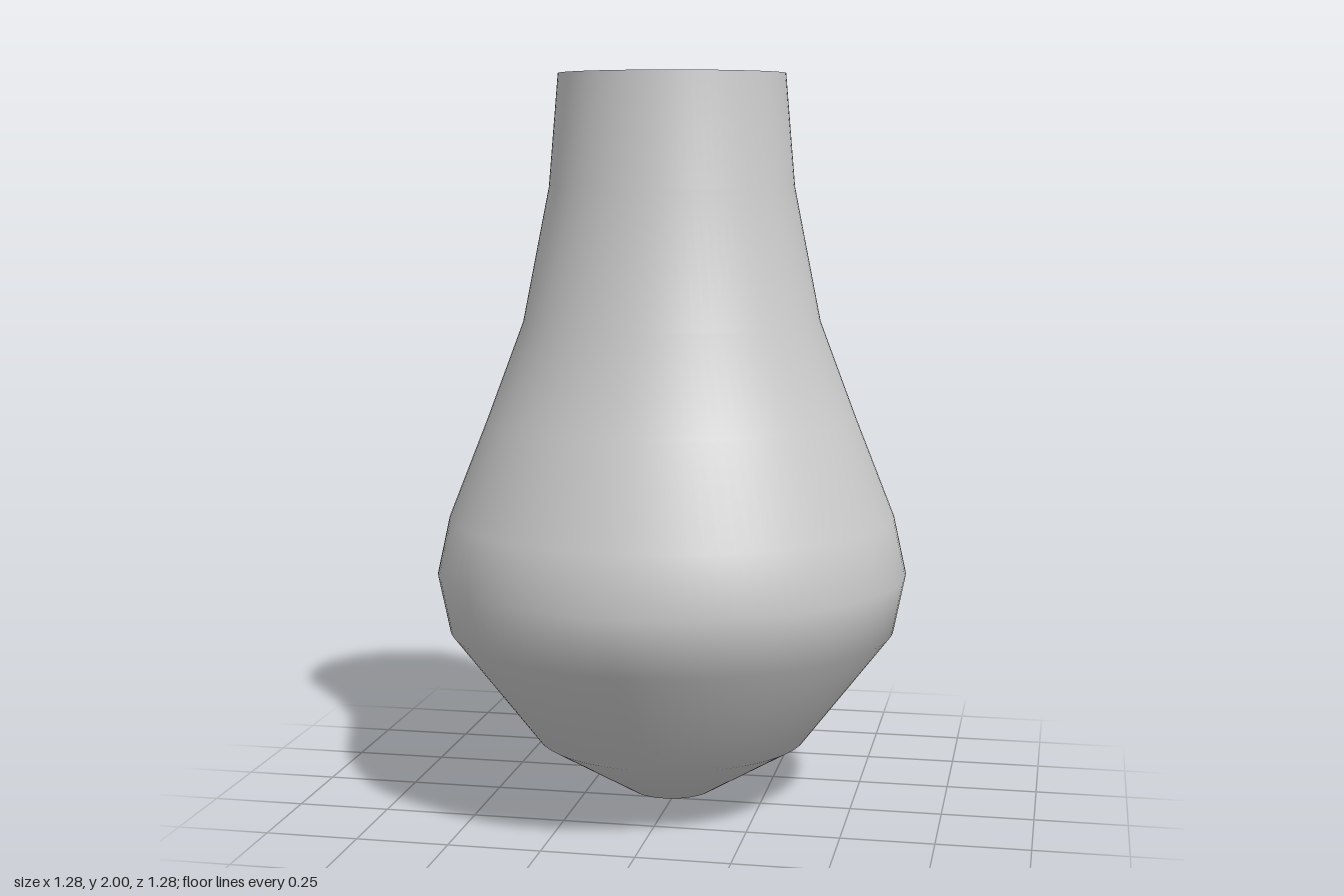
import * as THREE from 'three';

export function createModel() {
  const model = new THREE.Group();

  // Thin open-topped vessel: pointed base, wide belly, narrowing neck
  const profile = [
    [0, 0.005], [0.115, 0.035], [0.372, 0.19], [0.61, 0.5], [0.641, 0.655],
    [0.607, 0.81], [0.5, 1.08], [0.402, 1.34], [0.33, 1.7], [0.304, 2],
  ].map(([r, y]) => new THREE.Vector2(r, y === 0.005 ? 0 : y));

  const vase = new THREE.Mesh(
    new THREE.LatheGeometry(profile, 96),
    new THREE.MeshStandardMaterial({ color: 0xcccccc, side: THREE.DoubleSide }),
  );
  vase.name = 'vase';
  model.add(vase);

  return model;
}
